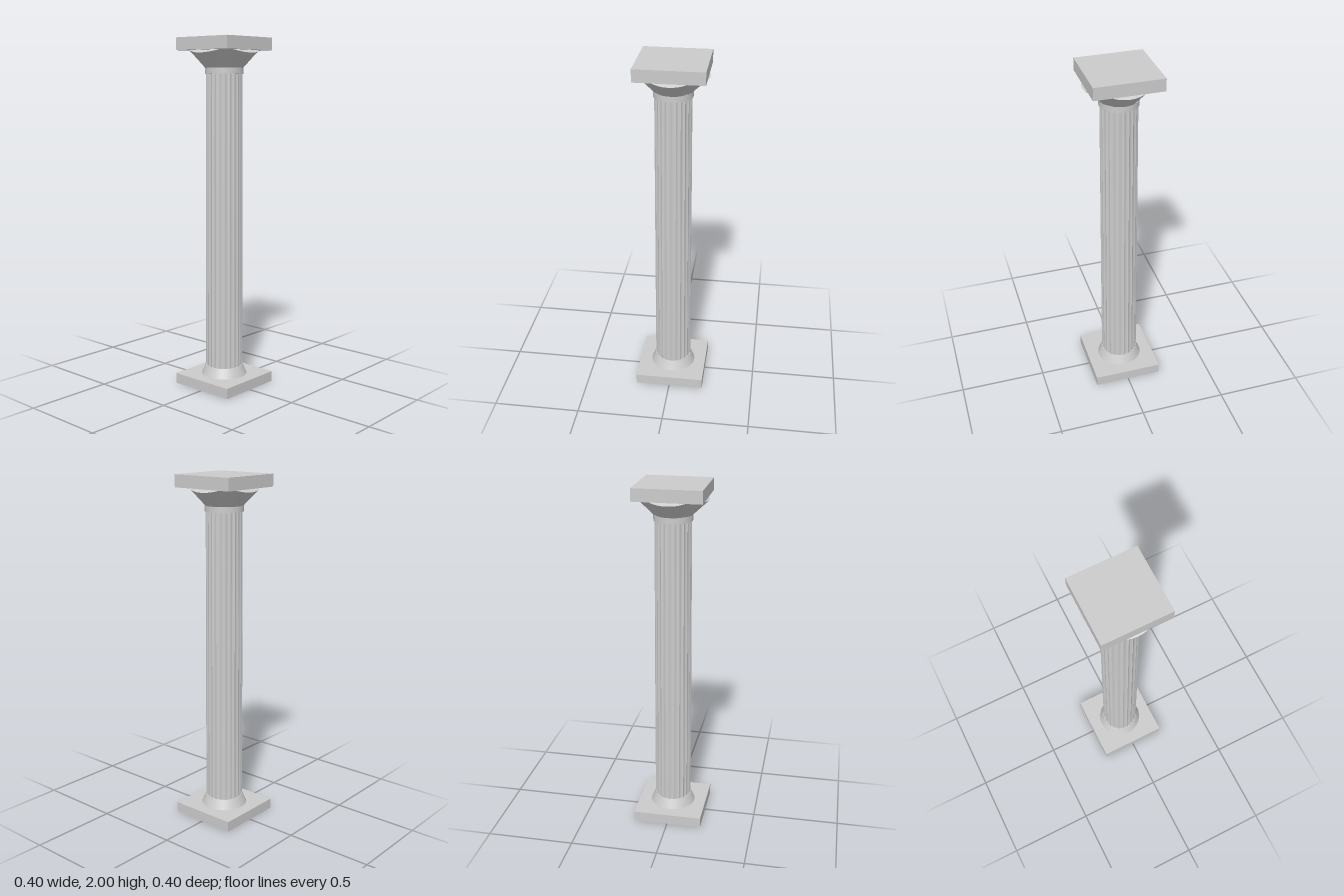
import * as THREE from 'three';
import { toCreasedNormals } from 'three/addons/utils/BufferGeometryUtils.js';

const material = new THREE.MeshStandardMaterial({ color: 0xcccccc });
const DEG = Math.PI / 180;

function addPart(group, name, geometry, y = 0) {
  const mesh = new THREE.Mesh(geometry, material);
  mesh.name = name;
  mesh.position.y = y;
  group.add(mesh);
}

// Point at an angle (0 = front, turning towards +x), radius and height
const polar = (angle, r, y) => new THREE.Vector3(r * Math.sin(angle), y, r * Math.cos(angle));

// Skin closed rings of points, listed from the bottom up
function loft(rings, crease) {
  const n = rings[0].length;
  const points = rings.flat();
  const index = [];
  for (let i = 0; i < rings.length - 1; i++) {
    for (let j = 0; j < n; j++) {
      const a = i * n + j, b = i * n + (j + 1) % n;
      index.push(a, b, b + n, a, b + n, a + n);
    }
  }
  const geometry = new THREE.BufferGeometry().setFromPoints(points);
  geometry.setIndex(index);
  return toCreasedNormals(geometry.toNonIndexed(), crease);
}

// Tapered shaft with 24 shallow flutes meeting at sharp edges
function shaftGeometry() {
  const flutes = 24, steps = 4;
  const ring = (y, radius) => Array.from({ length: flutes * steps }, (_, k) => {
    const depth = 0.006 * Math.sin(Math.PI * (k % steps) / steps);
    return polar(k / (flutes * steps) * Math.PI * 2, radius - depth, y);
  });
  return loft([ring(0.11, 0.107), ring(0.6, 0.106), ring(1.2, 0.104), ring(1.81, 0.102)], 0.6);
}

// Flared capital: four curved panels, flat corner panels, and sloping upper lips
function capitalGeometry() {
  const steps = 10;
  const bottom = [], rim = [], lip = [];
  for (let side = 0; side < 4; side++) {
    const turn = side * Math.PI / 2;
    for (let k = 0; k <= steps; k++) {
      const t = 2 * k / steps - 1;
      bottom.push(polar(turn + t * 31 * DEG, 0.108, 1.833));
      rim.push(polar(turn + t * 35.3 * DEG, 0.195, 1.913 + 0.017 * t * t));
      lip.push(new THREE.Vector3(t * 0.112, 1.93, 0.158).applyAxisAngle(new THREE.Vector3(0, 1, 0), turn));
    }
  }
  // Separate skins keep the rim crisp
  return [loft([bottom, rim], 0.25), loft([rim, lip], 0.25)];
}

export function createModel() {
  const column = new THREE.Group();
  column.name = 'column';

  addPart(column, 'plinth', new THREE.BoxGeometry(0.4, 0.06, 0.4), 0.03);
  addPart(column, 'flaredFoot', new THREE.CylinderGeometry(0.108, 0.132, 0.055, 48), 0.0875);
  addPart(column, 'flutedShaft', shaftGeometry());
  addPart(column, 'neckRing', new THREE.CylinderGeometry(0.108, 0.108, 0.033, 48), 1.8165);

  const capital = new THREE.Group();
  capital.name = 'capital';
  const [panels, lips] = capitalGeometry();
  addPart(capital, 'capitalPanels', panels);
  addPart(capital, 'capitalLips', lips);
  column.add(capital);

  addPart(column, 'topSlab', new THREE.BoxGeometry(0.38, 0.07, 0.38), 1.965);
  return column;
}
